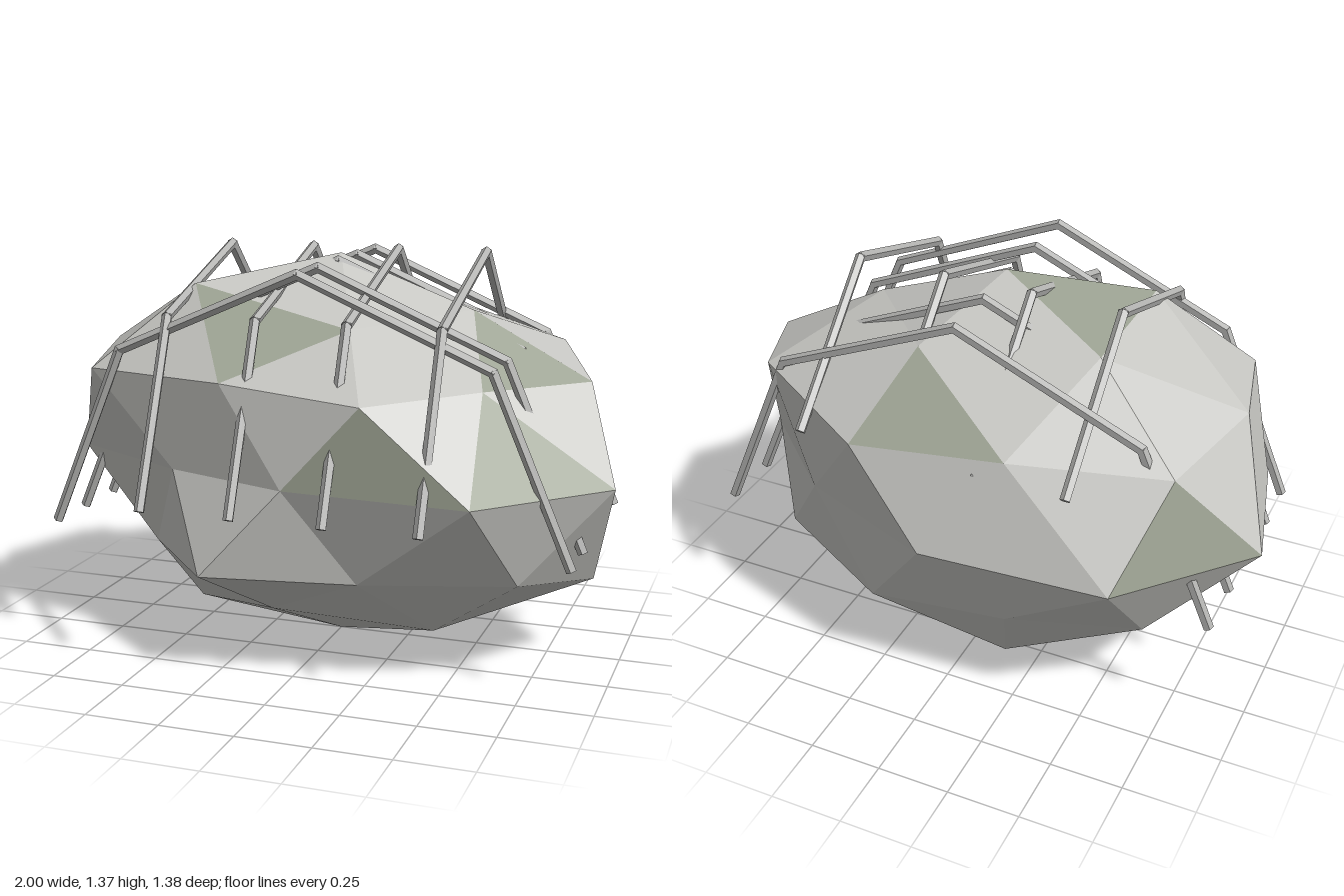
import * as THREE from 'three';

function flatMaterial(name, color) {
  const material = new THREE.MeshStandardMaterial({ color, flatShading: true });
  material.name = name;
  return material;
}
const stone = flatMaterial('stone grey', 0xc6c6c2);
const moss = flatMaterial('moss grey green', 0x9ba191);
const steel = flatMaterial('wire grey', 0xb4b4b2);

// Boulder: a subdivided icosahedron standing on a corner. Each band is a ring of
// corners at one height; angles run from +x towards +z, in degrees.
const band = (height, start, swell) => ({ height, start, swell });
const bands = [
  band(1, 0, [1.015]),
  band(0.851, 0, [0.89, 0.82, 1.03, 1, 0.94]),
  band(0.526, 36, [0.84, 0.89, 1, 0.93, 1.03]),
  band(0.447, 0, [0.975, 0.93, 1.04, 1.03, 0.98]),
  band(0, 18, [1.05, 1.06, 0.81, 0.75, 0.93, 1.05, 1.08, 0.93, 0.83, 0.85]),
  band(-0.447, 36, [1, 1, 0.82, 0.9, 0.93]),
  band(-0.526, 0, [1.06, 0.87, 0.83, 0.95, 0.94]),
  band(-0.851, 36, [0.95, 0.86, 1.03, 1.01, 0.9]),
  band(-1, 0, [0.97]),
];
const boulderScale = new THREE.Vector3(1, 0.68, 0.74);
const boulderMiddle = new THREE.Vector3(0, 0.66, 0);

// Directions of the mossy facets
const mossDirections = [
  [2.23, 0.53, 1.62], [-0.53, 2.23, 1.62], [0.86, 0.45, 2.66], [0.18, 1.82, -2.16],
  [-2.26, 0.45, -1.64], [2.11, 1.82, 0.5], [-0.85, 2.7, 0],
].map(d => new THREE.Vector3(...d).normalize());

function swellAt(v) {
  const { start, swell } = bands.find(b => Math.abs(b.height - v.y) < 0.03);
  const turn = (THREE.MathUtils.radToDeg(Math.atan2(v.z, v.x)) - start + 720) / 360;
  return swell[Math.round(turn * swell.length) % swell.length];
}

function boulderGeometry() {
  const geo = new THREE.IcosahedronGeometry(1, 1).rotateZ(-Math.atan2(0.526, 0.851));
  const pos = geo.attributes.position;
  const v = new THREE.Vector3();
  for (let f = 0; f < pos.count; f += 3) {
    const centre = new THREE.Vector3();
    for (let k = f; k < f + 3; k++) {
      v.fromBufferAttribute(pos, k);
      centre.add(v);
      v.multiplyScalar(swellAt(v)).multiply(boulderScale).add(boulderMiddle);
      pos.setXYZ(k, v.x, v.y, v.z);
    }
    centre.normalize();
    geo.addGroup(f, 3, mossDirections.some(d => d.dot(centre) > 0.99) ? 1 : 0);
  }
  geo.computeVertexNormals();
  return geo;
}

// A bent wire made from straight five-sided rods
function wire(name, points) {
  const group = new THREE.Group();
  group.name = name;
  for (let i = 1; i < points.length; i++) {
    const a = new THREE.Vector3(...points[i - 1]);
    const b = new THREE.Vector3(...points[i]);
    const dir = b.clone().sub(a);
    const rod = new THREE.Mesh(new THREE.CylinderGeometry(0.018, 0.018, dir.length() + 0.012, 5), steel);
    rod.name = 'wireSegment';
    rod.position.copy(a).add(b).multiplyScalar(0.5);
    rod.quaternion.setFromUnitVectors(new THREE.Vector3(0, 1, 0), dir.normalize());
    group.add(rod);
  }
  return group;
}

export function createModel() {
  const model = new THREE.Group();
  model.name = 'nettedBoulder';

  const boulder = new THREE.Mesh(boulderGeometry(), [stone, moss]);
  boulder.name = 'boulder';
  model.add(boulder);

  // Wire net draped over the boulder
  const net = new THREE.Group();
  net.name = 'wireNet';
  const crossPath = [[-0.885, 0.445], [-0.63, 1.05], [0, 1.325], [0.64, 1.05], [0.9, 0.445]];
  for (const z of [0.435, 0.235, 0.025, -0.18, -0.39]) {
    net.add(wire('crossWire', crossPath.map(([x, y]) => [x, y, z])));
  }
  const lengthPath = [[0.67, 0.575], [0.425, 1.17], [-0.13, 1.355], [-0.57, 0.93]];
  for (const x of [-0.457, -0.147, 0.164, 0.475]) {
    net.add(wire('lengthWire', lengthPath.map(([z, y]) => [x, y, z])));
  }
  model.add(net);
  return model;
}
